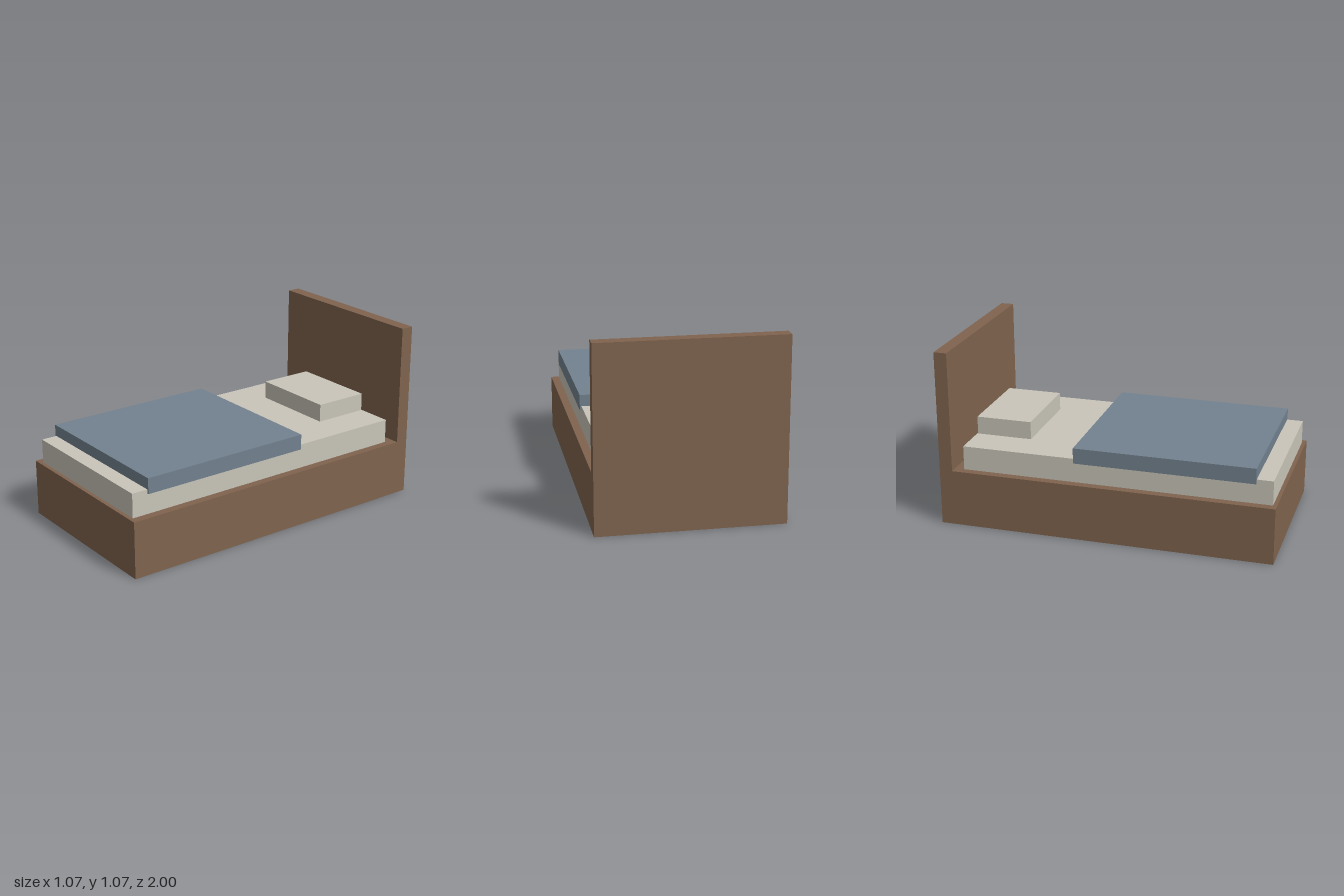
import * as THREE from 'three';

const material = (name, color) => {
  const m = new THREE.MeshStandardMaterial({ color });
  m.name = name;
  return m;
};

export function createModel() {
  const wood = material('brown wood', 0x80644e);
  const linen = material('cream linen', 0xc9c5b9);
  const cover = material('slate blue cover', 0x72828f);

  const bed = new THREE.Group();
  bed.name = 'bed';

  // Box centred on x, given its width and its y and z extents
  const box = (name, mat, width, y0, y1, z0, z1) => {
    const mesh = new THREE.Mesh(new THREE.BoxGeometry(width, y1 - y0, z1 - z0), mat);
    mesh.name = name;
    mesh.position.set(0, (y0 + y1) / 2, (z0 + z1) / 2);
    bed.add(mesh);
  };

  // Wooden frame
  box('base', wood, 1.066, 0, 0.34, -0.922, 1);
  box('headboard', wood, 1.066, 0, 1.066, -1, -0.922);

  // Bedding
  box('mattress', linen, 0.97, 0.34, 0.485, -0.865, 0.977);
  box('pillow', linen, 0.534, 0.485, 0.593, -0.86, -0.523);
  box('blanket', cover, 0.99, 0.46, 0.553, -0.185, 0.88);

  return bed;
}
